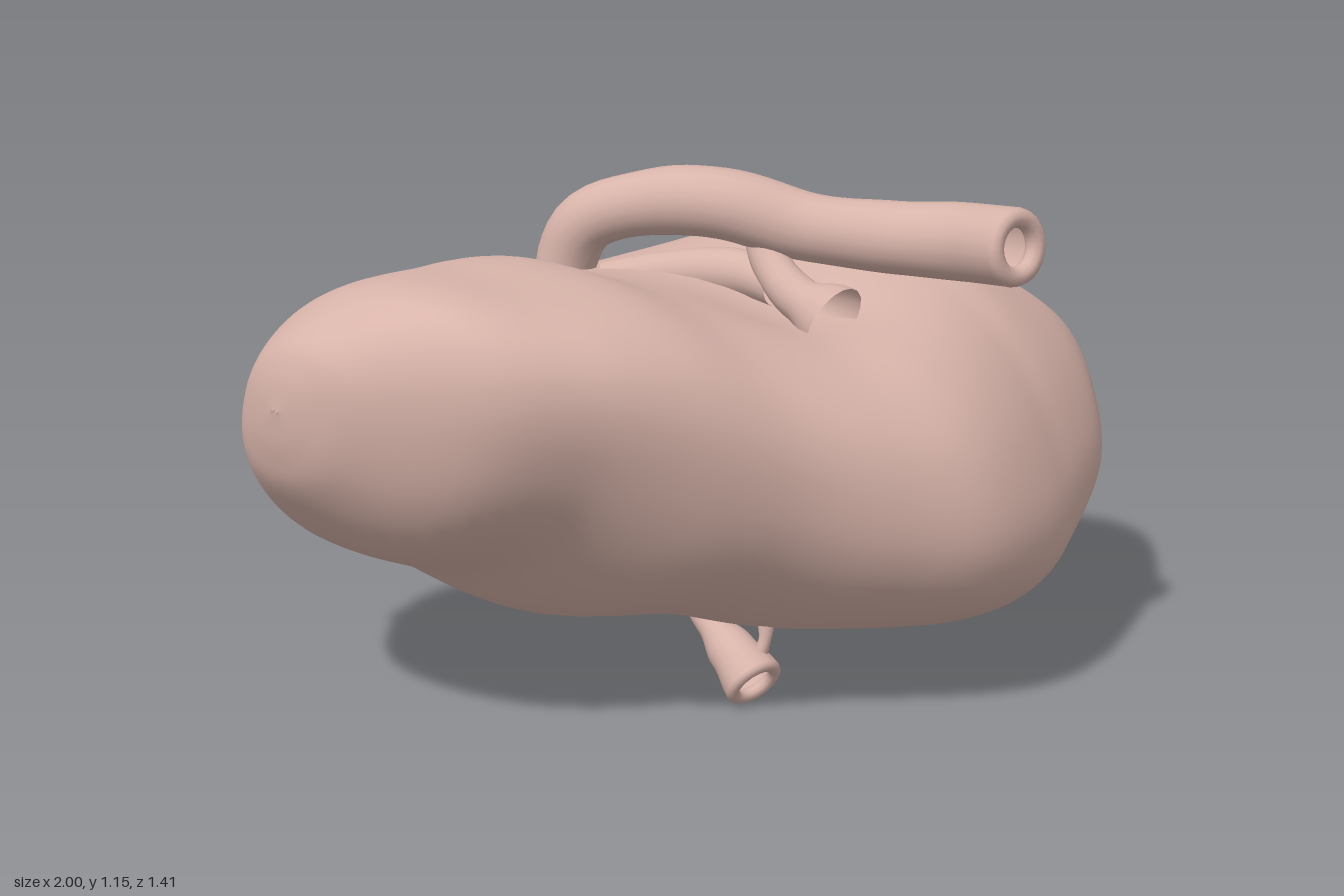
import * as THREE from 'three';

const material = new THREE.MeshStandardMaterial({ color: 0xd8b4aa, side: THREE.DoubleSide });
const vec = (p) => new THREE.Vector3(...p);

// Organ body: closed cross-sections lofted along x
function bodyGeometry() {
  // x, bottom, top, back, front
  const rows = [
    [-1, 0.77, 0.77, -0.2, -0.2], [-0.985, 0.66, 0.87, -0.3, -0.1], [-0.94, 0.56, 0.94, -0.4, 0.02],
    [-0.8, 0.42, 1.02, -0.55, 0.24], [-0.6, 0.33, 1.02, -0.68, 0.36], [-0.4, 0.21, 1.01, -0.7, 0.45],
    [-0.2, 0.2, 0.95, -0.69, 0.53], [0, 0.155, 0.93, -0.67, 0.63], [0.2, 0.14, 0.94, -0.6, 0.7],
    [0.4, 0.15, 0.95, -0.5, 0.68], [0.6, 0.2, 0.94, -0.38, 0.6], [0.8, 0.29, 0.84, -0.18, 0.5],
    [0.92, 0.37, 0.76, 0, 0.4], [0.98, 0.47, 0.7, 0.1, 0.31], [1, 0.6, 0.6, 0.2, 0.2],
  ];
  const spline = (a, b) => new THREE.CatmullRomCurve3(
    rows.map((r) => new THREE.Vector3(r[0], r[a], r[b])), false, 'catmullrom', 0.5);
  const heights = spline(1, 2), depths = spline(3, 4);
  const power = (v) => Math.sign(v) * Math.abs(v) ** 0.9;
  const nx = 84, na = 72, positions = [], index = [];
  for (let i = 0; i <= nx; i++) {
    const h = heights.getPoint(i / nx), d = depths.getPoint(i / nx);
    // the two lobes lean opposite ways: one top forwards, the other backwards
    const lean = THREE.MathUtils.clamp(-0.05 - 0.6 * h.x, -0.36, 0.3);
    const upright = Math.sqrt(1 - lean * lean);
    for (let j = 0; j < na; j++) {
      const a = (j / na) * Math.PI * 2;
      const c = power(Math.cos(a)), s = power(Math.sin(a));
      const z = (d.y + d.z) / 2 + (d.z - d.y) / 2 * (upright * c + lean * s);
      let y = (h.y + h.z) / 2 + (h.z - h.y) / 2 * s;
      // hollow around the vessels, on the upper side only
      if (s > 0) {
        const hollow = Math.exp(-(((h.x - 0.14) / 0.24) ** 2) - ((z - 0.18) / 0.24) ** 2);
        y -= 0.08 * hollow * s;
      }
      // gentle unevenness
      y += 0.008 * Math.sin(7 * h.x + 2) * Math.sin(8 * z) * s;
      positions.push(h.x, y, z);
      if (i < nx) {
        const k = (j + 1) % na, p = i * na, q = p + na;
        index.push(p + j, q + j, p + k, q + j, q + k, p + k);
      }
    }
  }
  const g = new THREE.BufferGeometry();
  g.setAttribute('position', new THREE.Float32BufferAttribute(positions, 3));
  g.setIndex(index);
  g.computeVertexNormals();
  return g;
}

// Open vessel whose radius follows a list, with an optional thick rim at its far end
function vessel(name, points, radii, rim) {
  const group = new THREE.Group();
  group.name = name;
  const curve = new THREE.CatmullRomCurve3(points.map(vec));
  const steps = 48, sides = 18;
  const g = new THREE.TubeGeometry(curve, steps, 1, sides);
  const pos = g.attributes.position, p = new THREE.Vector3();
  for (let i = 0; i <= steps; i++) {
    const c = curve.getPointAt(i / steps);
    const f = (i / steps) * (radii.length - 1), k = Math.min(Math.floor(f), radii.length - 2);
    const r = THREE.MathUtils.lerp(radii[k], radii[k + 1], THREE.MathUtils.smoothstep(f - k, 0, 1));
    for (let j = 0; j <= sides; j++) {
      const n = i * (sides + 1) + j;
      p.fromBufferAttribute(pos, n).sub(c).multiplyScalar(r).add(c);
      pos.setXYZ(n, p.x, p.y, p.z);
    }
  }
  const tube = new THREE.Mesh(g, material);
  tube.name = name + 'Wall';
  group.add(tube);
  if (rim) {
    const ring = new THREE.Mesh(
      new THREE.TorusGeometry(radii[radii.length - 1] - rim, rim, 10, 24), material);
    ring.name = name + 'Rim';
    ring.position.copy(curve.getPoint(1));
    ring.quaternion.setFromUnitVectors(new THREE.Vector3(0, 0, 1), curve.getTangent(1));
    group.add(ring);
  }
  return group;
}

export function createModel() {
  const model = new THREE.Group();
  model.name = 'organ';

  const body = new THREE.Mesh(bodyGeometry(), material);
  body.name = 'body';
  model.add(body);

  // Large vessel arching over the top towards the front
  model.add(vessel('mainVessel', [
    [-0.11, 0.8, -0.33], [-0.1, 0.93, -0.32], [-0.08, 1.02, -0.27], [0, 1.07, -0.14], [0.08, 1.075, 0],
    [0.19, 1.03, 0.15], [0.28, 1.02, 0.32], [0.32, 1.03, 0.48], [0.31, 1.045, 0.64],
  ], [0.06, 0.07, 0.07, 0.078, 0.08, 0.075, 0.08, 0.085, 0.085], 0.022));

  // Branch dropping from the large vessel to a flared mouth in the hollow
  model.add(vessel('sideBranch', [
    [0.15, 1.02, 0.06], [0.13, 0.95, 0.1], [0.12, 0.9, 0.17], [0.13, 0.85, 0.29],
  ], [0.05, 0.045, 0.05, 0.085]));

  // Second vessel lying on the body beneath the arch
  model.add(vessel('lowerBranch', [
    [-0.04, 0.87, -0.26], [0.06, 0.9, -0.14], [0.13, 0.91, 0], [0.13, 0.9, 0.12],
  ], [0.05, 0.05, 0.055, 0.045]));

  // Flared stub under the body
  model.add(vessel('lowerStub', [
    [-0.04, 0.2, 0.02], [-0.05, 0.135, 0.12], [-0.06, 0.09, 0.2], [-0.065, 0.06, 0.245],
  ], [0.03, 0.035, 0.055, 0.068], 0.015));
  model.add(vessel('lowerTwig', [
    [-0.03, 0.2, 0.25], [-0.035, 0.15, 0.25], [-0.05, 0.1, 0.24],
  ], [0.02, 0.014, 0.02]));

  // Small stub on the back
  model.add(vessel('backStub', [
    [-0.5, 0.42, -0.52], [-0.52, 0.37, -0.6], [-0.53, 0.355, -0.68],
  ], [0.035, 0.035, 0.045], 0.012));

  return model;
}
